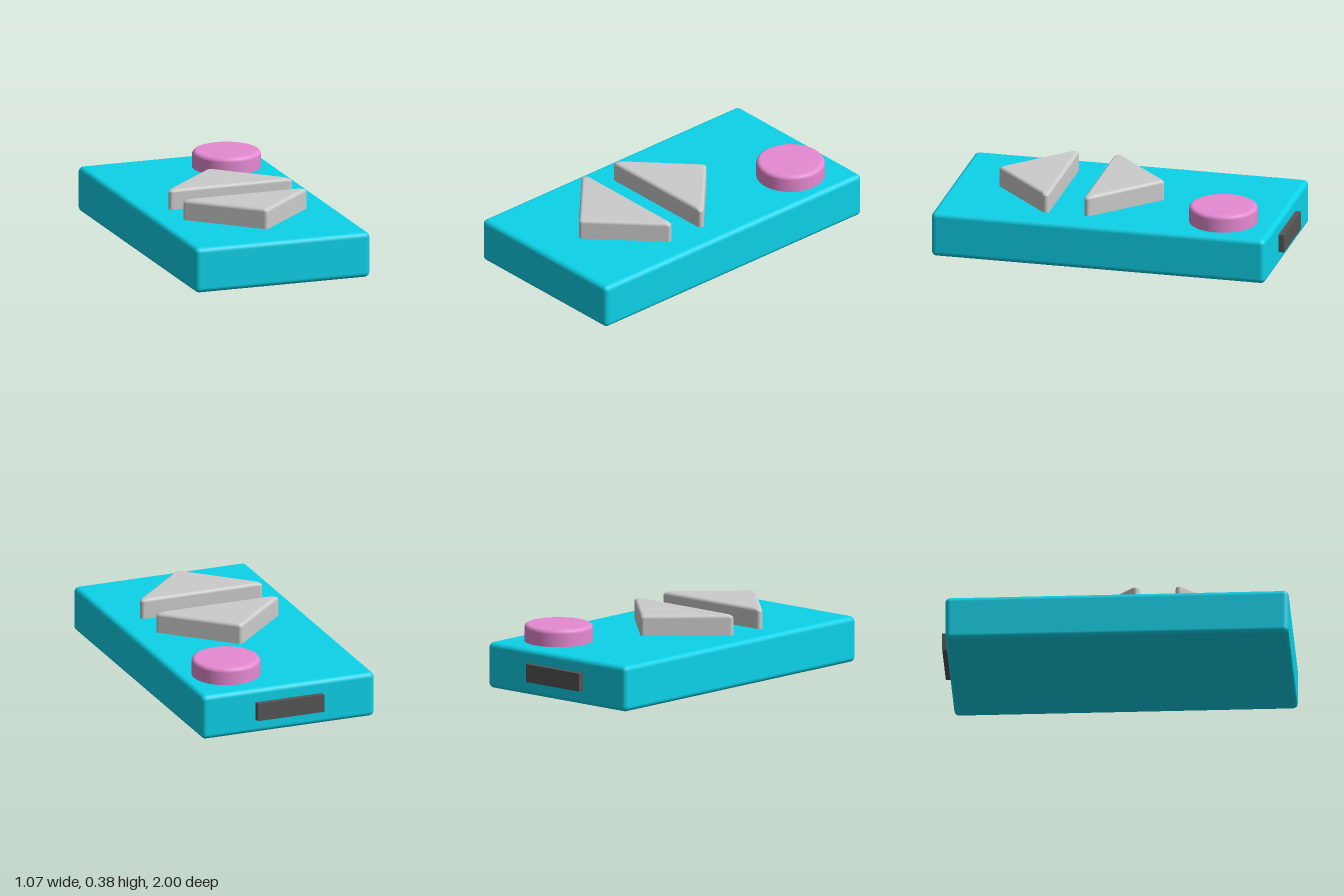
import * as THREE from 'three';
import { RoundedBoxGeometry } from 'three/addons/geometries/RoundedBoxGeometry.js';

const BODY_TOP = 0.266;

function addPart(group, name, geometry, color, x = 0, y = 0, z = 0) {
  const mesh = new THREE.Mesh(geometry, new THREE.MeshStandardMaterial({ color }));
  mesh.name = name;
  mesh.position.set(x, y, z);
  group.add(mesh);
  return mesh;
}

// Triangular key pointing to -z: rounded corners, filleted top edge, centred on its depth.
function triangleKeyGeometry(halfWidth, depth, bottom, top, corner, fillet) {
  const a = halfWidth - corner;
  const h = depth - 2 * corner;
  const base = depth / 2 - corner;
  const inradius = (a * h) / (a + Math.hypot(a, h));
  const centreZ = base - inradius;
  const slope = Math.atan2(a, h);
  // Corner centre and the range of outward directions swept there (0 = +x, PI/2 = +z)
  const corners = [
    [a, base, -slope, Math.PI / 2],
    [-a, base, Math.PI / 2, Math.PI + slope],
    [0, base - h, Math.PI + slope, 2 * Math.PI - slope],
  ];
  const steps = 8;
  const rows = [[0, bottom]];
  for (let i = 0; i <= 6; i++) {
    const t = (i / 6) * Math.PI / 2;
    rows.push([fillet * (1 - Math.cos(t)), top - fillet + fillet * Math.sin(t)]);
  }
  const positions = [];
  const index = [];
  for (const [inset, y] of rows) {
    const s = 1 - inset / inradius;
    for (const [cx, cz, from, to] of corners) {
      for (let i = 0; i <= steps; i++) {
        const t = from + (to - from) * i / steps;
        positions.push(
          cx * s + corner * Math.cos(t), y,
          centreZ + (cz - centreZ) * s + corner * Math.sin(t));
      }
    }
  }
  const n = corners.length * (steps + 1);
  for (let r = 0; r < rows.length - 1; r++) {
    for (let i = 0; i < n; i++) {
      const p = r * n + i, q = r * n + (i + 1) % n;
      index.push(p, p + n, q, q, p + n, q + n);
    }
  }
  // Top face
  const centre = positions.length / 3, last = (rows.length - 1) * n;
  positions.push(0, top, centreZ);
  for (let i = 0; i < n; i++) index.push(centre, last + (i + 1) % n, last + i);

  const geometry = new THREE.BufferGeometry();
  geometry.setAttribute('position', new THREE.Float32BufferAttribute(positions, 3));
  geometry.setIndex(index);
  geometry.computeVertexNormals();
  return geometry;
}

// Round button with a filleted rim
function roundButtonGeometry(radius, bottom, top, fillet) {
  const profile = [new THREE.Vector2(radius, bottom)];
  for (let i = 0; i <= 6; i++) {
    const t = (i / 6) * Math.PI / 2;
    profile.push(new THREE.Vector2(
      radius - fillet + fillet * Math.cos(t),
      top - fillet + fillet * Math.sin(t)));
  }
  profile.push(new THREE.Vector2(0, top));
  return new THREE.LatheGeometry(profile, 48);
}

export function createModel() {
  const group = new THREE.Group();
  group.name = 'remoteControl';

  // Case
  addPart(group, 'body', new RoundedBoxGeometry(1.066, BODY_TOP, 1.967, 5, 0.03),
    0x0cd2e8, 0, BODY_TOP / 2, 0.0165);

  // Up and down keys, back to back
  const key = triangleKeyGeometry(0.375, 0.38, BODY_TOP - 0.02, 0.385, 0.02, 0.02);
  addPart(group, 'upKey', key, 0xcccccc, 0, 0, -0.053);
  addPart(group, 'downKey', key, 0xcccccc, 0, 0, 0.535).rotation.y = Math.PI;

  // Power button
  addPart(group, 'powerButton', roundButtonGeometry(0.197, BODY_TOP - 0.02, 0.366, 0.025),
    0xe68ad2, 0.263, 0, -0.658);

  // Emitter window on the rear end
  addPart(group, 'emitterWindow', new THREE.BoxGeometry(0.41, 0.104, 0.06),
    0x555555, 0, 0.135, -0.97);

  return group;
}
